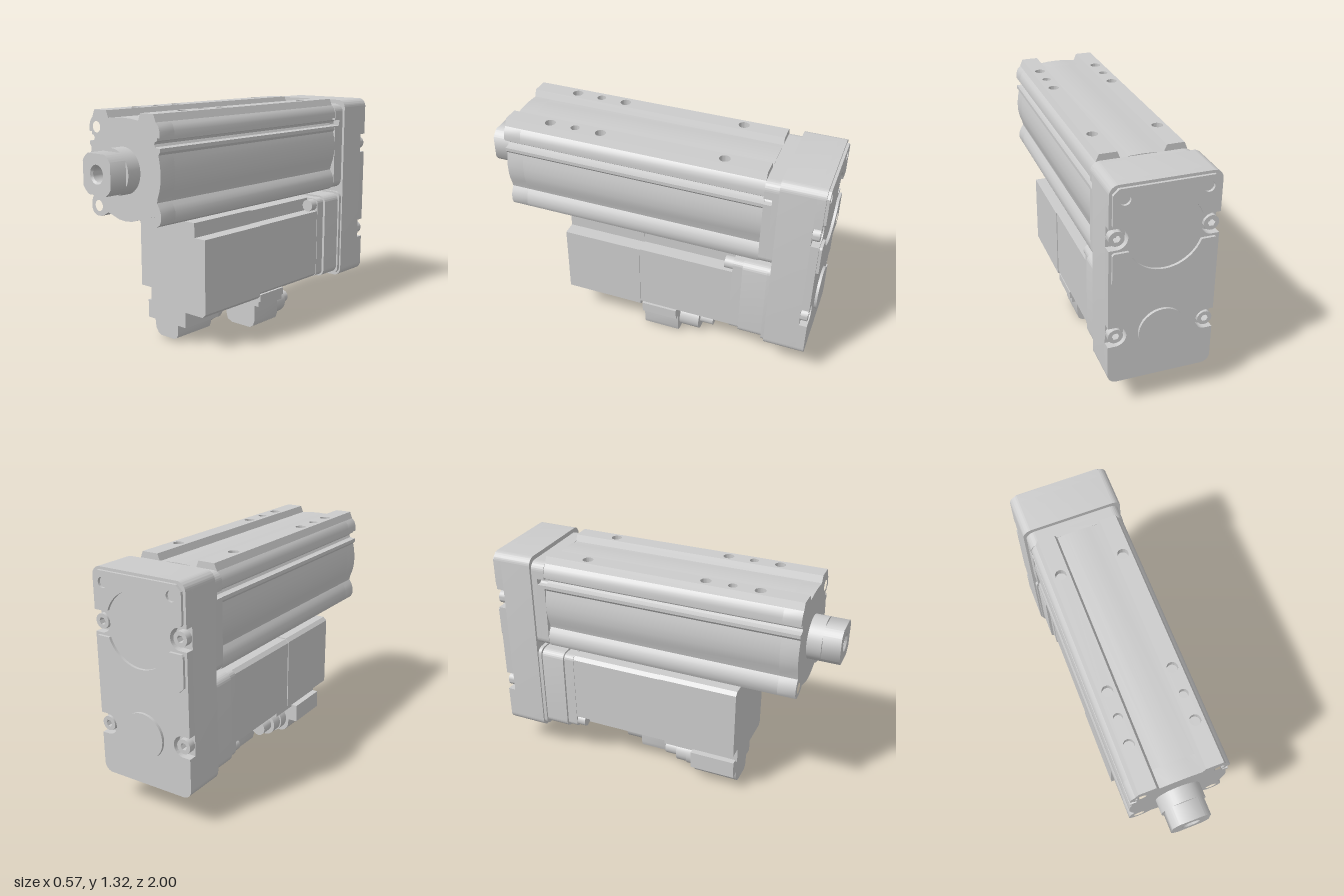
import * as THREE from 'three';
import { toCreasedNormals } from 'three/addons/utils/BufferGeometryUtils.js';

const material = new THREE.MeshStandardMaterial({ color: 0xcccccc });
const AXIS = 1.025; // height of the cylinder axis
const SIDES = [-1, 1];

export function createModel() {
  const model = new THREE.Group();

  const add = (name, geometry, x = 0, y = 0, z = 0) => {
    const mesh = new THREE.Mesh(geometry, material);
    mesh.name = name;
    mesh.position.set(x, y, z);
    model.add(mesh);
    return mesh;
  };
  // Extrudes a shape in the xy plane from z0 to z1
  const slab = (name, shape, z0, z1, x = 0, y = 0) => {
    const g = new THREE.ExtrudeGeometry(shape, { depth: z1 - z0, bevelEnabled: false, curveSegments: 16 });
    return add(name, toCreasedNormals(g, 0.6), x, y, z0);
  };
  // Cylinder along z
  const rod = (name, r, z0, z1, x, y, r2 = r) => {
    const g = new THREE.CylinderGeometry(r2, r, z1 - z0, 40);
    g.rotateX(Math.PI / 2);
    return add(name, g, x, y, (z0 + z1) / 2);
  };
  const polygon = (points) => new THREE.Shape(points.map(([x, y]) => new THREE.Vector2(x, y)));
  const hole = (shape, x, y, r) => shape.holes.push(new THREE.Path().absarc(x, y, r, 0, Math.PI * 2, true));

  // Rounded rectangle, optionally with round-ended slots cut into both sides
  const plate = (x0, x1, y0, y1, r, slots = [], half = 0, deep = 0) => {
    const s = new THREE.Shape();
    s.absarc(x1 - r, y0 + r, r, -Math.PI / 2, 0, false);
    for (const y of slots) {
      s.lineTo(x1, y - half);
      s.absarc(x1 - deep, y, half, Math.PI * 1.5, Math.PI / 2, true);
      s.lineTo(x1, y + half);
    }
    s.absarc(x1 - r, y1 - r, r, 0, Math.PI / 2, false);
    s.absarc(x0 + r, y1 - r, r, Math.PI / 2, Math.PI, false);
    for (const y of [...slots].reverse()) {
      s.lineTo(x0, y + half);
      s.absarc(x0 + deep, y, half, Math.PI / 2, -Math.PI / 2, true);
      s.lineTo(x0, y - half);
    }
    s.absarc(x0 + r, y0 + r, r, Math.PI, Math.PI * 1.5, false);
    return s;
  };

  // Cylinder barrel: round wall, corner lobes and a sensor slot on each side
  const half = [
    [0, 1.295], [0.06, 1.293], [0.11, 1.287], [0.24, 1.287], [0.258, 1.268], [0.268, 1.24], [0.268, 1.21],
    [0.25, 1.21], [0.25, 1.195], [0.234, 1.19], [0.227, 1.177], [0.234, 1.164], [0.25, 1.159],
    [0.268, 1.159], [0.268, 1.14], [0.256, 1.125], [0.264, 1.09], [0.27, 1.04], [0.268, 0.99], [0.26, 0.95],
    [0.246, 0.91], [0.24, 0.885], [0.255, 0.862], [0.266, 0.835], [0.268, 0.8], [0.256, 0.774],
    [0.23, 0.76], [0.195, 0.76], [0.165, 0.771], [0.135, 0.788], [0.1, 0.778], [0.05, 0.763], [0, 0.759],
  ];
  const mirrored = half.slice(1, -1).reverse().map(([x, y]) => [-x, y]);
  const profile = polygon([...half, ...mirrored]);
  slab('barrel', profile, -0.67, 0.72);
  const drilled = profile.clone();
  for (const x of [-0.21, 0.21]) for (const y of [0.815, 1.235]) hole(drilled, x, y, 0.03);
  slab('barrelFront', drilled, 0.72, 0.82);

  // Mounting rails with sloping sides and drilled tops
  for (const side of SIDES) {
    const centre = 0.1775;
    const shape = polygon([[-0.0475, -0.82], [0.0475, -0.82], [0.0475, 0.67], [-0.0475, 0.67]]);
    for (const [z, r] of [[-0.43, 0.03], [0.27, 0.03], [0.42, 0.025], [0.57, 0.03]]) hole(shape, 0, -z, r);
    const g = new THREE.ExtrudeGeometry(shape, { depth: 0.039, bevelEnabled: false, curveSegments: 16 });
    g.rotateX(-Math.PI / 2);
    const p = g.attributes.position;
    for (let i = 0; i < p.count; i++) {
      const x = p.getX(i);
      if (p.getY(i) < 0.01 && Math.abs(x) > 0.04) p.setX(i, x + Math.sign(x) * 0.016);
    }
    add('mountingRail', toCreasedNormals(g, 0.6), side * centre, 1.286, 0);
  }

  // Piston rod: collar, tip with four flats, threaded bore
  rod('rodCollar', 0.123, 0.8, 0.9, 0, AXIS);
  const tip = new THREE.Shape();
  const flat = Math.acos(0.105 / 0.123);
  for (let k = 0; k < 4; k++) {
    const a = (k * Math.PI) / 2;
    tip.absarc(0, 0, 0.123, a + flat, a + Math.PI / 2 - flat, false);
  }
  tip.closePath();
  hole(tip, 0, 0, 0.05);
  slab('rodTip', tip, 0.9, 1, 0, AXIS);
  const bore = new THREE.LatheGeometry([[0.05, 0], [0.041, -0.012], [0.041, -0.09], [0, -0.099]]
    .map(([x, y]) => new THREE.Vector2(x, y)), 32);
  bore.rotateX(Math.PI / 2);
  const boreMesh = add('rodBore', toCreasedNormals(bore, 0.6), 0, AXIS, 1);
  boreMesh.material = material.clone();
  boreMesh.material.side = THREE.DoubleSide;

  // Adapter between barrel and transfer housing, with the slot ends
  slab('adapterFront', plate(-0.27, 0.27, 0.765, 1.29, 0.05, [1.177], 0.018, 0.025), -0.715, -0.67);
  slab('adapterRear', plate(-0.27, 0.27, 0.765, 1.29, 0.05), -0.75, -0.715);

  // Transfer housing with bolt pockets at the back
  slab('housing', plate(-0.285, 0.285, 0.18, 1.315, 0.05), -0.94, -0.75);
  const boltHeights = [0.465, 1.03];
  slab('housingBack', plate(-0.285, 0.285, 0.18, 1.315, 0.05, boltHeights, 0.058, 0.04), -0.985, -0.94);
  for (const x of [-0.243, 0.243]) {
    for (const y of boltHeights) {
      const head = new THREE.Shape().absarc(0, 0, 0.04, 0, Math.PI * 2, false);
      const socket = [0, 1, 2, 3, 4, 5].map((k) => new THREE.Vector2(0.02, 0)
        .rotateAround(new THREE.Vector2(), -k * Math.PI / 3));
      head.holes.push(new THREE.Path(socket));
      slab('housingBolt', head, -0.98, -0.94, x, y);
    }
  }

  // Raised back pads around a round recess, and the pulley cover
  for (const s of SIDES) {
    const pts = [[0.262, 0.07], [0.27, 0.08], [0.27, 0.24], [0.24, 0.27], [-0.24, 0.27], [-0.27, 0.24], [-0.27, 0.08], [-0.262, 0.07]];
    for (let k = 0; k <= 20; k++) {
      const a = THREE.MathUtils.degToRad(159.5 - (139 * k) / 20);
      pts.push([0.2 * Math.cos(a), 0.2 * Math.sin(a)]);
    }
    const pad = polygon(pts.map(([x, y]) => [x, s * y]));
    for (const x of [-0.21, 0.21]) hole(pad, x, s * 0.21, 0.028);
    slab('backPad', pad, -1, -0.985, 0, 1.03);
  }
  rod('pulleyCover', 0.125, -1, -0.98, 0, 0.465);

  // Motor flange and body, with two opposite corners cut away for screws
  slab('motorSeat', plate(-0.275, 0.275, 0.195, 0.735, 0.04), -0.75, -0.73);
  slab('motorFlange', plate(-0.265, 0.265, 0.205, 0.725, 0.045), -0.73, -0.59);
  slab('motorMount', plate(-0.25, 0.25, 0.215, 0.715, 0.03), -0.59, -0.53);
  const motor = (l, b, t) => polygon([
    [-l + 0.078, b], [l - 0.02, b], [l, b + 0.02], [l, 0.638], [l - 0.078, 0.638], [l - 0.078, t],
    [-l + 0.02, t], [-l, t - 0.02], [-l, 0.293], [-l + 0.078, 0.293],
  ]);
  slab('motorBody', motor(0.247, 0.217, 0.714), -0.53, 0.025);
  slab('encoderHousing', motor(0.252, 0.2, 0.72), 0.025, 0.49);
  for (const s of SIDES) rod('motorScrew', 0.036, -0.53, -0.48, s * 0.209, 0.465 + s * 0.21);

  // Front cable connector
  slab('frontConnector', polygon([
    [-0.21, 0.21], [-0.21, 0.105], [-0.155, 0.105], [-0.148, 0.055], [-0.13, 0.03], [-0.105, 0.018],
    [-0.005, 0.018], [0.02, 0.03], [0.03, 0.055], [0.03, 0.105], [0.09, 0.105], [0.09, 0.21],
  ]), 0.21, 0.48);
  rod('frontConnectorNut', 0.076, 0.15, 0.21, -0.06, 0.106);
  rod('frontConnectorNeck', 0.067, 0.08, 0.15, -0.06, 0.103);
  rod('frontCable', 0.045, 0, 0.08, -0.06, 0.105);

  // Rear cable connector
  slab('rearConnector', polygon([
    [-0.02, 0.22], [-0.02, 0.05], [-0.01, 0.02], [0.025, 0.005], [0.165, 0.005], [0.19, 0.02],
    [0.2, 0.05], [0.2, 0.145], [0.233, 0.145], [0.233, 0.178], [0.245, 0.178], [0.245, 0.22],
  ]), -0.2, 0.015);
  rod('rearConnectorNeck', 0.078, -0.32, -0.2, 0.09, 0.087);
  rod('rearCable', 0.037, -0.4, -0.32, 0.09, 0.087);

  return model;
}
